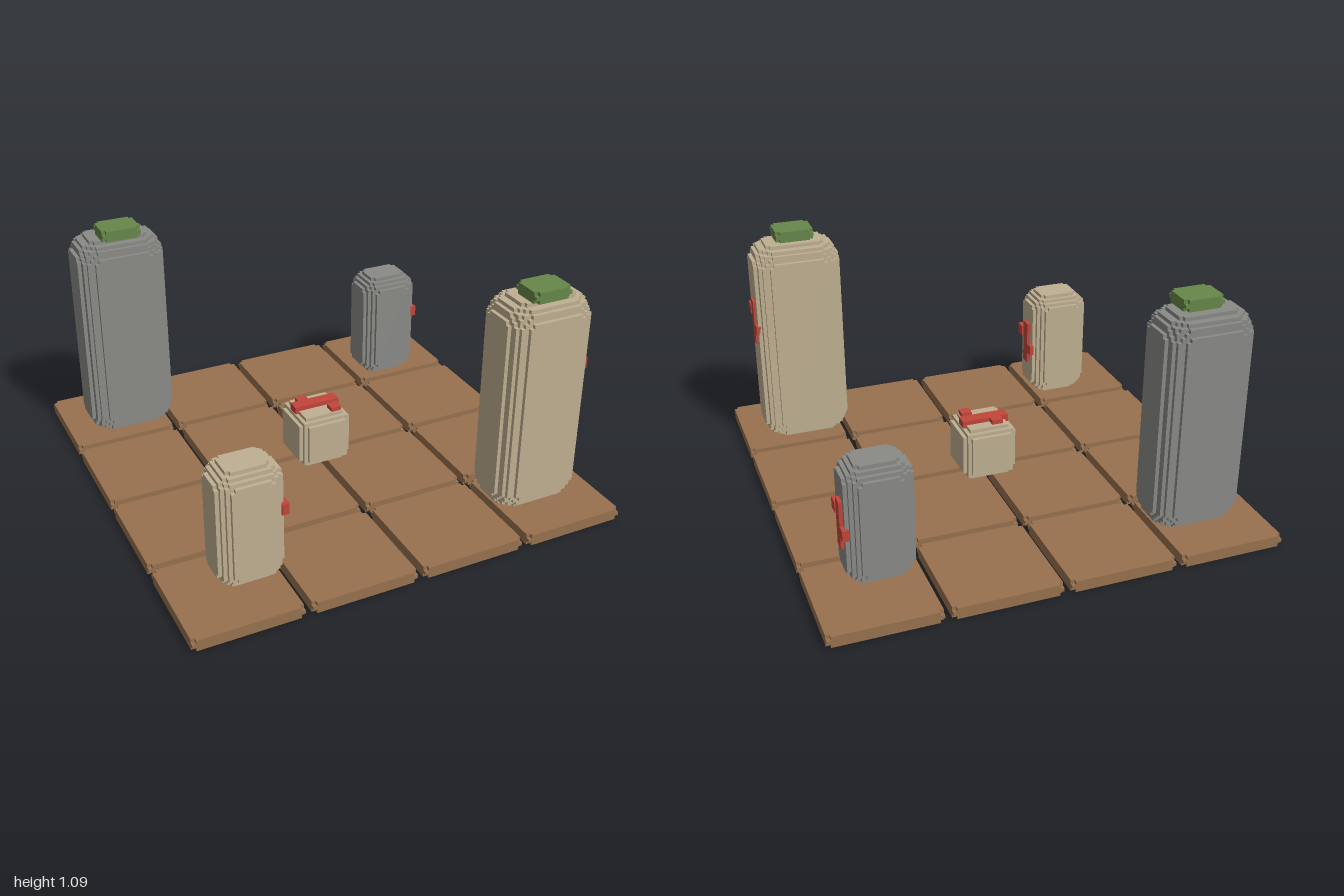
import * as THREE from 'three';
import { mergeGeometries } from 'three/addons/utils/BufferGeometryUtils.js';

// Everything sits on a block grid: 118 blocks span the 2-unit base.
const U = 2 / 118;

const mat = (name, color) => {
  const m = new THREE.MeshStandardMaterial({ color });
  m.name = name;
  return m;
};

// Box between two grid corners, each as [x, y, z] in blocks
function box(a, b) {
  const size = a.map((v, i) => (b[i] - v) * U);
  const mid = a.map((v, i) => ((b[i] + v) / 2) * U);
  return new THREE.BoxGeometry(...size).translate(mid[0] - 1, mid[1], mid[2] - 1);
}

// Box whose edges and corners are rounded in block steps of radius r
function steppedBox(a, b, r) {
  const parts = [];
  const limit = r * r + r;
  for (let i = 0; i <= r; i++) {
    for (let j = 0; j <= r; j++) {
      const rest = limit - i * i - j * j;
      if (rest < 0) continue;
      const k = Math.min(r, Math.floor(Math.sqrt(rest)));
      const inset = [r - i, r - j, r - k];
      parts.push(box(a.map((v, n) => v + inset[n]), b.map((v, n) => v - inset[n])));
    }
  }
  return mergeGeometries(parts);
}

export function createModel() {
  const group = new THREE.Group();
  const clay = mat('clay brown', 0x98714f);
  const tan = mat('sandstone', 0xbfb092);
  const grey = mat('grey stone', 0x8a8b87);
  const green = mat('moss green', 0x66874a);
  const red = mat('rune red', 0xc2453a);

  const add = (name, geometry, material) => {
    const mesh = new THREE.Mesh(geometry, material);
    mesh.name = name;
    group.add(mesh);
  };

  // Floor of 4 x 4 tiles
  for (let i = 0; i < 4; i++) {
    for (let j = 0; j < 4; j++) {
      const x = i * 30, z = j * 30;
      add('floorTile', steppedBox([x, 0, z], [x + 28, 3, z + 28], 1), clay);
    }
  }

  // Standing stones
  add('tallStoneBack', steppedBox([6, 3, 9.5], [30, 61.2, 26.5], 6), grey);
  add('tallStoneFront', steppedBox([88, 3, 91.5], [112, 61.2, 108.5], 6), tan);
  add('smallStoneBack', steppedBox([91.5, 3, 14], [108.5, 35, 28], 5), grey);
  add('smallStoneFront', steppedBox([12, 3, 93], [29, 35, 107], 5), tan);
  add('centreStone', steppedBox([51.5, 3, 51.5], [66.5, 18, 66.5], 3), tan);

  // Moss caps on the tall stones
  add('mossCapBack', steppedBox([13, 61.2, 16], [23.6, 64.2, 24.4], 1), green);
  add('mossCapFront', steppedBox([94.4, 61.2, 97.5], [104.8, 64.2, 106.1], 1), green);

  // Side runes: upright bar, a nub behind it and a loose square in front
  const sideRune = (x0, x1, y, z) => {
    add('runeBar', box([x0, y, z], [x1, y + 12.8, z + 3]), red);
    add('runeNub', box([x0, y + 3.3, z - 2.3], [x1, y + 6.2, z]), red);
    add('runeSquare', box([x0 - 0.6, y + 7.4, z + 4.3], [x1, y + 10.4, z + 7.3]), red);
  };
  sideRune(111.3, 112.6, 32.2, 97.8);
  sideRune(107.8, 109.4, 12.9, 18.4);
  sideRune(28.8, 30, 12.9, 97.8);

  // The same rune lying on top of the centre stone
  add('topRuneBar', box([52.5, 17.2, 56.6], [65.5, 19.2, 59.9]), red);
  add('topRuneNub', box([54.8, 17.2, 54.5], [57.8, 19.2, 56.6]), red);
  add('topRuneSquare', box([61.3, 17.2, 61.2], [64.2, 19.2, 64.1]), red);

  return group;
}
